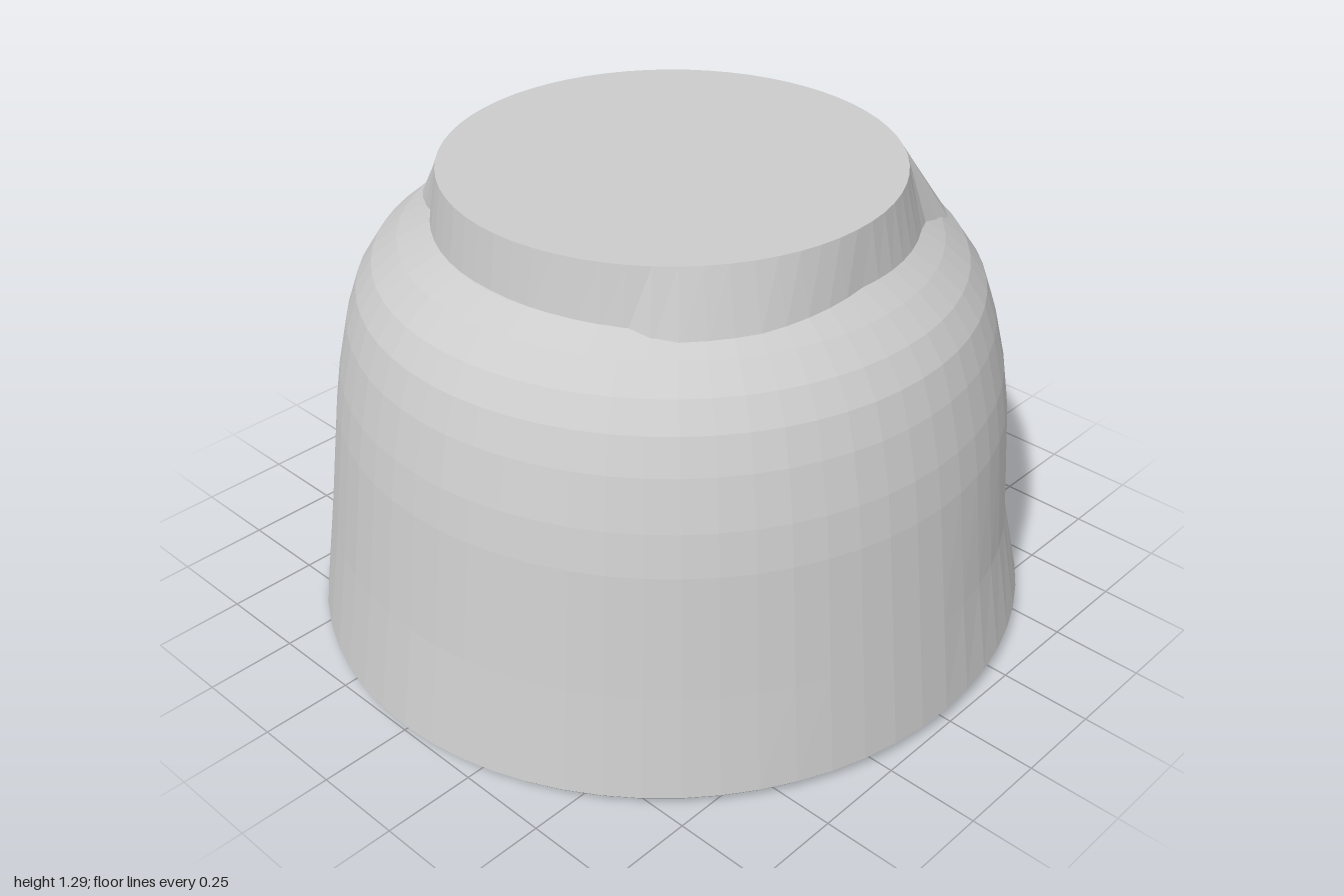
import * as THREE from 'three';

const SEGMENTS = 64;

// Skin a closed ring surface; profile(angle) returns [radius, height, dx, dz]
// rows, where dx and dz shift the ring. Angle 0 is +x, a quarter turn is +z.
function loft(profile) {
  const positions = [], indices = [];
  let rows = 0;
  for (let i = 0; i <= SEGMENTS; i++) {
    const a = (i % SEGMENTS) / SEGMENTS * Math.PI * 2;
    const points = profile(a);
    rows = points.length;
    for (const [r, y, dx = 0, dz = 0] of points) {
      positions.push(r * Math.cos(a) + dx, y, r * Math.sin(a) + dz);
    }
  }
  for (let i = 0; i < SEGMENTS; i++) {
    for (let j = 0; j < rows - 1; j++) {
      const p = i * rows + j, q = p + rows;
      indices.push(p, p + 1, q, q, p + 1, q + 1);
    }
  }
  const geometry = new THREE.BufferGeometry();
  geometry.setAttribute('position', new THREE.Float32BufferAttribute(positions, 3));
  geometry.setIndex(indices);
  geometry.computeVertexNormals();
  return geometry;
}

// The rim is slightly tilted (higher on the left and front) and a little oval.
const rimHeight = (a) => 0.016 + 0.012 * Math.cos(a) + 0.009 * Math.sin(a);
const rimRadius = (a) => 0.998 - 0.012 * Math.sin(a) ** 2;

// Interpolate around the circle between [degrees, radius, height] stations.
function around(stations, a) {
  const deg = a * 180 / Math.PI;
  let k = stations.length - 2;
  while (k > 0 && stations[k][0] > deg) k--;
  const [d0, r0, y0] = stations[k], [d1, r1, y1] = stations[k + 1];
  const t = (deg - d0) / (d1 - d0);
  return [r0 + (r1 - r0) * t, y0 + (y1 - y0) * t];
}

// Lower edge of the irregular foot: flared on the left and back.
const footEdge = [
  [0, 0.785, 1.055], [38, 0.75, 1.065], [45, 0.70, 1.09], [52, 0.65, 1.12],
  [90, 0.63, 1.14], [118, 0.66, 1.11], [138, 0.67, 1.09], [146, 0.64, 1.11],
  [180, 0.63, 1.11], [225, 0.63, 1.12], [240, 0.69, 1.11], [256, 0.755, 1.08],
  [292, 0.755, 1.08], [303, 0.70, 1.11], [315, 0.68, 1.13], [340, 0.68, 1.11],
  [355, 0.68, 1.10], [360, 0.785, 1.055],
];

export function createModel() {
  const group = new THREE.Group();
  const material = new THREE.MeshStandardMaterial({
    color: 0xcccccc, flatShading: true, side: THREE.DoubleSide,
  });
  const add = (name, geometry) => {
    const mesh = new THREE.Mesh(geometry, material);
    mesh.name = name;
    group.add(mesh);
    return mesh;
  };

  // Outer wall: flared skirt, upright belly and slightly off-centre shoulder
  add('outerWall', loft((a) => {
    const pinch = 0.03 * Math.max(0, Math.cos(a));
    return [
      [rimRadius(a) - 0.01, rimHeight(a) - 0.003], [rimRadius(a), rimHeight(a) + 0.008],
      [0.952 - pinch, 0.3], [0.91, 0.63], [0.893, 0.74, 0.004, -0.004],
      [0.863, 0.87, 0.008, -0.01], [0.832, 0.96, 0.012, -0.014],
      [0.785, 1.03, 0.012, -0.016], [0.715, 1.09, 0.01, -0.014],
      [0.63, 1.14], [0.56, 1.16],
    ];
  }));

  // Hollow inside: domed ceiling, thick upright wall and a wide bevel to the rim
  add('innerWall', loft((a) => [
    [0, 1.1], [0.4, 1.06], [0.64, 0.9], [0.8, 0.59], [0.83, 0.26],
    [0.91, 0.12], [rimRadius(a) - 0.01, rimHeight(a) - 0.003],
  ]));

  // Foot ring with its uneven flare
  add('foot', loft((a) => [around(footEdge, a), [0.605, 1.285]]));

  // Flat closed top of the foot
  const top = add('footTop', new THREE.CircleGeometry(0.605, SEGMENTS));
  top.rotation.x = -Math.PI / 2;
  top.position.y = 1.285;

  return group;
}
